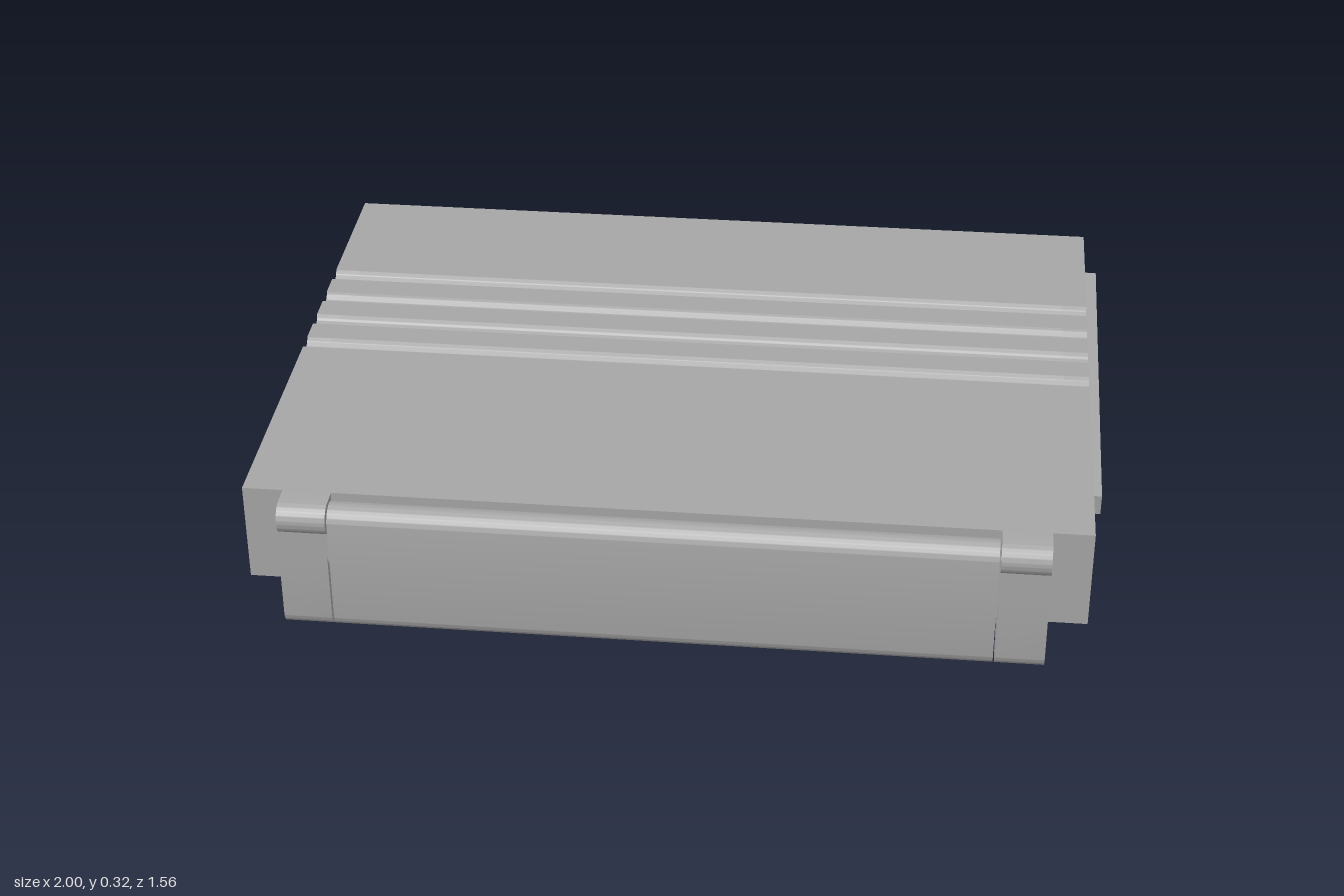
import * as THREE from 'three';
import { toCreasedNormals } from 'three/addons/utils/BufferGeometryUtils.js';

const W = 0.955;      // half width of the case
const SIDE = 0.06;    // thickness of the side slices that hold the slots

export function createModel() {
  const model = new THREE.Group();
  model.name = 'hingedCase';
  const grey = new THREE.MeshStandardMaterial({ color: 0xa6a6a6 });
  grey.name = 'plain grey';

  const add = (name, geometry) => {
    const mesh = new THREE.Mesh(geometry, grey);
    mesh.name = name;
    model.add(mesh);
    return mesh;
  };
  const box = (name, x0, x1, y0, y1, z0, z1) =>
    add(name, new THREE.BoxGeometry(x1 - x0, y1 - y0, z1 - z0)
      .translate((x0 + x1) / 2, (y0 + y1) / 2, (z0 + z1) / 2));
  // Extrude a profile drawn in (z, y) from x0 to x1
  const slab = (name, shape, x0, x1) => {
    const g = new THREE.ExtrudeGeometry(shape, { depth: x1 - x0, bevelEnabled: false, curveSegments: 20 });
    g.rotateY(-Math.PI / 2).translate(x1, 0, 0);
    return add(name, toCreasedNormals(g, 0.6));
  };
  const rod = (name, radius, x0, x1, y, z) =>
    add(name, new THREE.CylinderGeometry(radius, radius, x1 - x0, 24)
      .rotateZ(Math.PI / 2).translate((x0 + x1) / 2, y, z));
  const drill = (shape, z, y) => {
    const hole = new THREE.Path();
    hole.absarc(z, y, 0.017, 0, Math.PI * 2, true);
    shape.holes.push(hole);
  };

  // Case profile: finger grooves on top, lid edge stepping in at the rear
  const caseProfile = (rearSlot) => {
    const s = new THREE.Shape();
    s.moveTo(-0.695, 0.08);
    s.lineTo(0.7, 0.08);
    s.lineTo(0.7, 0.32);
    for (let i = 0; i < 4; i++) {
      s.absarc(0.048 - i * 0.1135, 0.326, 0.025, -0.242, -Math.PI + 0.242, true);
    }
    s.lineTo(-0.685, 0.32);
    if (rearSlot) {
      s.lineTo(-0.685, 0.29);
      s.lineTo(-0.46, 0.29);
      s.lineTo(-0.46, 0.225);
    } else {
      s.lineTo(-0.685, 0.225);
    }
    s.lineTo(-0.695, 0.225);
    s.closePath();
    return s;
  };
  slab('caseBody', caseProfile(false), -W + SIDE, W - SIDE);
  slab('caseRightSide', caseProfile(true), -W, -W + SIDE);
  const leftProfile = caseProfile(false);
  leftProfile.holes.push(new THREE.Path([
    [0.43, 0.225], [0.43, 0.29], [0.6, 0.29], [0.6, 0.225],
  ].map(([z, y]) => new THREE.Vector2(z, y))));
  slab('caseLeftSide', leftProfile, W - SIDE, W);

  // Rear wall with a half-round thumb notch
  const wall = new THREE.Shape();
  wall.moveTo(-W, 0.08);
  wall.lineTo(W, 0.08);
  wall.lineTo(W, 0.275);
  wall.absarc(0, 0.275, 0.105, 0, -Math.PI, true);
  wall.lineTo(-W, 0.275);
  wall.closePath();
  add('rearWall', toCreasedNormals(
    new THREE.ExtrudeGeometry(wall, { depth: 0.02, bevelEnabled: false, curveSegments: 24 })
      .translate(0, 0, -0.715), 0.6));

  // Front hinge spine: rounded bar with two pin holes
  const hz = 0.742, r = 0.038, top = 0.282, low = 0.038;
  const spine = new THREE.Shape();
  spine.absarc(hz, top, r, 0, Math.PI, false);
  spine.absarc(hz, low, r, Math.PI, Math.PI * 2, false);
  spine.closePath();
  drill(spine, hz, top);
  drill(spine, hz, low);
  slab('hingeSpine', spine, -0.747, 0.747);

  // Upper knuckles are fixed to the case, lower ones are free blocks
  const upper = new THREE.Shape();
  upper.moveTo(0.695, top - r);
  upper.absarc(hz, top, r, -Math.PI / 2, Math.PI / 2, false);
  upper.lineTo(0.695, top + r);
  upper.closePath();
  drill(upper, hz, top);

  const lower = new THREE.Shape();
  lower.moveTo(hz - r, 0.2);
  lower.absarc(hz, low, r, Math.PI, Math.PI * 2, false);
  lower.lineTo(hz + r, 0.2);
  lower.closePath();
  drill(lower, hz, low);

  // Tilted support arm profile
  const arm = new THREE.Shape([
    [0.175, 0.027], [0.18, 0.081], [-0.77, 0.167], [-0.776, 0.113],
  ].map(([z, y]) => new THREE.Vector2(z, y)));

  for (const [side, sign] of [['left', 1], ['right', -1]]) {
    const span = (a, b) => (sign > 0 ? [a, b] : [-b, -a]);
    slab(side + 'UpperKnuckle', upper, ...span(0.751, 0.862));
    slab(side + 'LowerKnuckle', lower, ...span(0.751, 0.862));
    box(side + 'HingeTab', ...span(0.751, 0.862), 0.042, 0.09, 0.675, 0.706);
    slab(side + 'SupportArm', arm, ...span(0.965, 1));
    rod(side + 'ArmPin', 0.018, ...span(0.94, 0.97), 0.139, -0.74);
  }
  // Cross rod joining the arms under the case
  rod('supportCrossRod', 0.023, -0.97, 0.97, 0.055, 0.152);

  return model;
}
